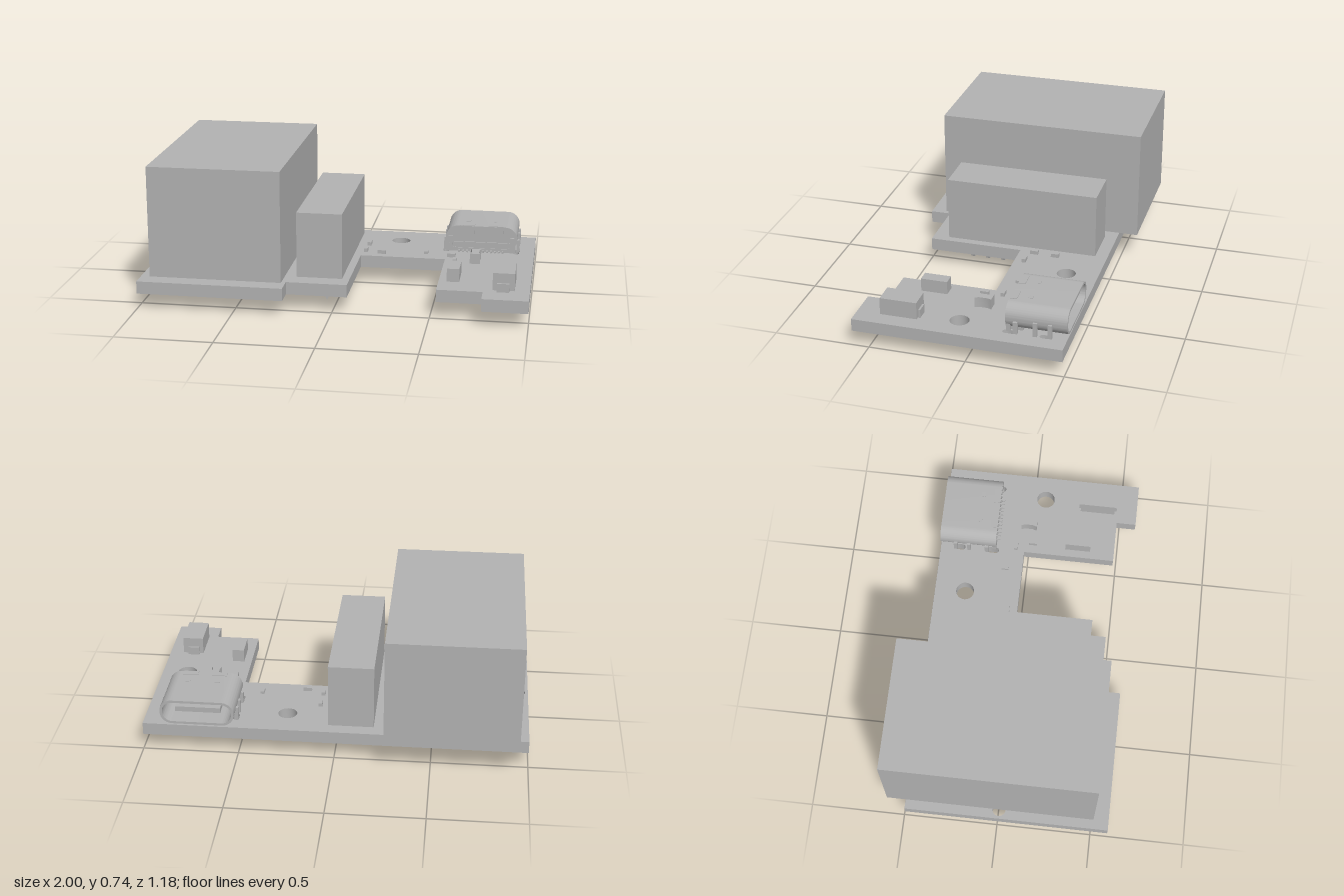
import * as THREE from 'three';
import { toCreasedNormals } from 'three/addons/utils/BufferGeometryUtils.js';

const grey = new THREE.MeshStandardMaterial({ color: 0xb2b2b2 });
grey.name = 'plain grey';

const TOP = 0.147, BOTTOM = 0.081;

function add(parent, name, geometry) {
  const mesh = new THREE.Mesh(geometry, grey);
  mesh.name = name;
  parent.add(mesh);
  return mesh;
}

// Box given by its limits on each axis
function box(parent, name, x0, x1, y0, y1, z0, z1) {
  const mesh = add(parent, name, new THREE.BoxGeometry(x1 - x0, y1 - y0, z1 - z0));
  mesh.position.set((x0 + x1) / 2, (y0 + y1) / 2, (z0 + z1) / 2);
  return mesh;
}

function extrude(shape, depth) {
  const g = new THREE.ExtrudeGeometry(shape, { depth, bevelEnabled: false, curveSegments: 12 });
  return toCreasedNormals(g, 0.7);
}

// Rounded rectangle drawn into a Shape or Path
function rounded(path, x0, y0, x1, y1, r) {
  path.moveTo(x0 + r, y0);
  path.lineTo(x1 - r, y0);
  path.absarc(x1 - r, y0 + r, r, -Math.PI / 2, 0);
  path.lineTo(x1, y1 - r);
  path.absarc(x1 - r, y1 - r, r, 0, Math.PI / 2);
  path.lineTo(x0 + r, y1);
  path.absarc(x0 + r, y1 - r, r, Math.PI / 2, Math.PI);
  path.lineTo(x0, y0 + r);
  path.absarc(x0 + r, y0 + r, r, Math.PI, Math.PI * 1.5);
  return path;
}

// Flat plan shape (x, z) raised upward from y
function plate(parent, name, shape, y, height) {
  const mesh = add(parent, name, extrude(shape, height));
  mesh.rotation.x = -Math.PI / 2;
  mesh.position.y = y;
  return mesh;
}

function makeBoard(root) {
  const outline = [
    [-1, -0.49], [1, -0.49], [1, 0.588], [0.765, 0.588], [0.765, 0.481], [0.53, 0.481],
    [0.53, -0.021], [0.075, -0.021], [0.075, 0.481], [-0.24, 0.481], [-0.24, 0.588], [-1, 0.588],
  ];
  const shape = new THREE.Shape(outline.map(([x, z]) => new THREE.Vector2(x, -z)).reverse());
  const hole = (x, z, r) => shape.holes.push(new THREE.Path().absarc(x, -z, r, 0, Math.PI * 2));
  // Mounting holes
  hole(0.26, -0.322, 0.05);
  hole(0.865, 0.068, 0.05);
  // Locating and shield holes under the large block
  for (const x of [-0.34, -0.84]) hole(x, -0.127, 0.068);
  for (const x of [-0.265, -0.95]) hole(x, 0.007, 0.035);
  // Contact holes
  for (let i = 0; i < 4; i++) {
    hole(-0.414 - i * 0.109, 0.15, 0.018);
    hole(-0.47 - i * 0.109, 0.264, 0.018);
  }
  for (const x of [-0.374, -0.479, -0.727, -0.84]) hole(x, 0.468, 0.018);
  // Slots and peg holes of the socket
  for (const x of [0.523, 0.903]) {
    for (const [z, half] of [[-0.382, 0.03], [-0.2, 0.036]]) {
      shape.holes.push(rounded(new THREE.Path(), x - 0.016, -z - half, x + 0.016, -z + half, 0.0155));
    }
  }
  for (const x of [0.6, 0.82]) hole(x, -0.2, 0.013);
  plate(root, 'circuitBoard', shape, BOTTOM, TOP - BOTTOM);
}

function makeSocket(root) {
  const socket = new THREE.Group();
  socket.name = 'socket';
  root.add(socket);
  const cx = 0.713;
  // Hollow metal shell, open towards the back edge
  const shell = rounded(new THREE.Shape(), 0.52, 0.155, 0.906, 0.291, 0.064);
  shell.holes.push(rounded(new THREE.Path(), 0.533, 0.168, 0.893, 0.278, 0.052));
  add(socket, 'socketShell', extrude(shell, 0.312)).position.z = -0.49;
  // Inner body, set in a little at the front
  const core = rounded(new THREE.Shape(), 0.532, 0.167, 0.894, 0.279, 0.053);
  add(socket, 'socketCore', extrude(core, 0.11)).position.z = -0.3;
  box(socket, 'socketTongue', 0.595, 0.831, 0.209, 0.237, -0.455, -0.29);
  box(socket, 'socketBase', 0.55, 0.876, TOP, 0.2, -0.26, -0.182);
  for (const s of [-1, 1]) {
    // Folded tabs over the front of the shell
    box(socket, 'foldedTab', cx + s * 0.077 - 0.04, cx + s * 0.077 + 0.04, 0.245, 0.294, -0.215, -0.18);
    box(socket, 'topSpring', cx + s * 0.077 - 0.013, cx + s * 0.077 + 0.013, 0.285, 0.293, -0.288, -0.268);
    // Side legs
    for (const [z, top, w] of [[-0.23, 0.21, 0.022], [-0.33, 0.22, 0.02], [-0.405, 0.22, 0.02]]) {
      box(socket, 'sideLeg', cx + s * 0.197 - 0.008, cx + s * 0.197 + 0.008, BOTTOM + 0.06, top, z - w / 2, z + w / 2);
    }
    box(socket, 'frontFoot', cx + s * 0.17 - 0.015, cx + s * 0.17 + 0.015, TOP, 0.23, -0.2, -0.179);
  }
  // Row of contacts
  for (let i = 0; i < 12; i++) {
    const x = cx + (i - 5.5) * 0.0215;
    box(socket, 'contact', x - 0.005, x + 0.005, TOP, 0.157, -0.185, -0.162);
  }
}

// Flat header pins with tapered tips
function makePins(root) {
  const profile = [[-0.073, 0.15], [-0.068, 0.07], [-0.064, 0.008], [-0.06, 0], [-0.055, 0], [-0.051, 0.01], [-0.044, 0.07], [-0.044, 0.15]];
  const shape = new THREE.Shape(profile.map(([x, y]) => new THREE.Vector2(x, y)));
  for (let i = 0; i < 8; i++) {
    add(root, 'headerPin', extrude(shape, 0.022)).position.z = 0.277 - i * 0.0863;
  }
}

function makeSmallParts(root) {
  // Tiny chips: centre x, centre z, width, length, top
  const chips = [
    [0.097, -0.219, 0.02, 0.042, 0.167], [0.092, -0.104, 0.02, 0.042, 0.167],
    [0.182, -0.074, 0.045, 0.02, 0.167], [0.421, -0.116, 0.02, 0.04, 0.162],
    [0.561, -0.069, 0.045, 0.02, 0.167], [0.587, 0.023, 0.02, 0.045, 0.17],
  ];
  for (const [x, z, w, l, top] of chips) {
    box(root, 'chip', x - w / 2, x + w / 2, TOP - 0.001, top, z - l / 2, z + l / 2);
  }
  // Chip with a narrow waist
  const waist = [[0.667, 0.052], [0.722, 0.052], [0.714, 0.03], [0.714, -0.012], [0.722, -0.035], [0.667, -0.035], [0.675, -0.012], [0.675, 0.03]];
  plate(root, 'waistedChip', new THREE.Shape(waist.map(([x, y]) => new THREE.Vector2(x, y))), TOP - 0.001, 0.057);
  box(root, 'capacitor', 0.572, 0.636, TOP - 0.001, 0.217, 0.207, 0.347);
  // Diode with bent terminals
  box(root, 'diodeBody', 0.813, 0.924, 0.153, 0.244, 0.271, 0.462);
  box(root, 'diodeTerminals', 0.835, 0.897, TOP - 0.001, 0.192, 0.261, 0.474);
}

export function createModel() {
  const root = new THREE.Group();
  root.name = 'circuitBoardAssembly';
  makeBoard(root);
  box(root, 'largeBlock', -0.951, -0.261, 0.15, 0.735, -0.59, 0.508);
  box(root, 'smallBlock', -0.2, 0.037, 0.149, 0.494, -0.424, 0.394);
  makePins(root);
  makeSocket(root);
  makeSmallParts(root);
  return root;
}
